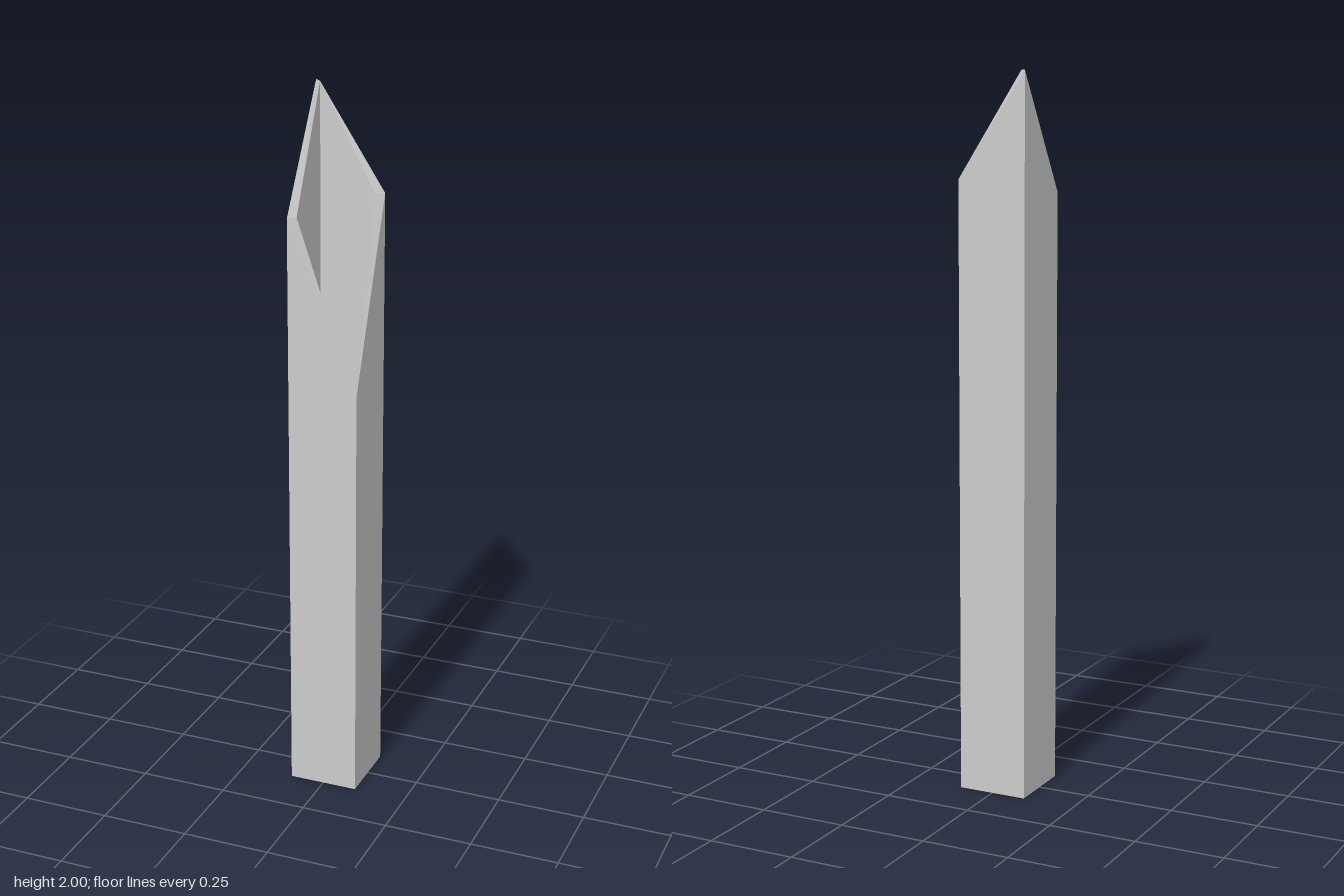
import * as THREE from 'three';

// Corners run front-left, front-right, back-right, back-left as seen from above
const SIGNS = [[-1, 1], [1, 1], [1, -1], [-1, -1]];
const CUT = [1.67, 1.2, 1.71, 2]; // height of the slanted cut at each corner
const OUTER = [0.099, 0.101];
const INNER = [0.0795, 0.081];
const FLOOR = 1.0;

// Four corner points from half sizes and a height per corner
const ring = ([hx, hz], heights) =>
  SIGNS.map(([sx, sz], i) => [sx * hx, heights[i], sz * hz]);

const level = (y) => [y, y, y, y];

// Four quads joining one ring to the next
function band(a, b) {
  const points = [];
  for (let i = 0; i < 4; i++) {
    const j = (i + 1) % 4;
    points.push(a[i], a[j], b[j], a[i], b[j], b[i]);
  }
  return points;
}

// Flat square face, front side by corner order
const cap = ([a, b, c, d]) => [a, b, c, a, c, d];

export function createModel() {
  const group = new THREE.Group();
  group.name = 'cutPost';
  const material = new THREE.MeshStandardMaterial({ color: 0xcccccc, flatShading: true });

  function addPart(name, points) {
    const geometry = new THREE.BufferGeometry();
    geometry.setAttribute('position', new THREE.Float32BufferAttribute(points.flat(), 3));
    geometry.computeVertexNormals();
    const mesh = new THREE.Mesh(geometry, material);
    mesh.name = name;
    group.add(mesh);
  }

  const base = ring(OUTER, level(0));
  const outerRim = ring(OUTER, CUT);
  const innerRim = ring(INNER, CUT);
  const floor = ring(INNER, level(FLOOR));

  // Square post with closed underside
  addPart('post', [...band(base, outerRim), ...cap([...base].reverse())]);
  // Thin slanted edge of the cut
  addPart('rim', band(outerRim, innerRim));
  // Inner walls and floor of the hollow tip
  addPart('hollow', [...band(innerRim, floor), ...cap(floor)]);

  return group;
}
